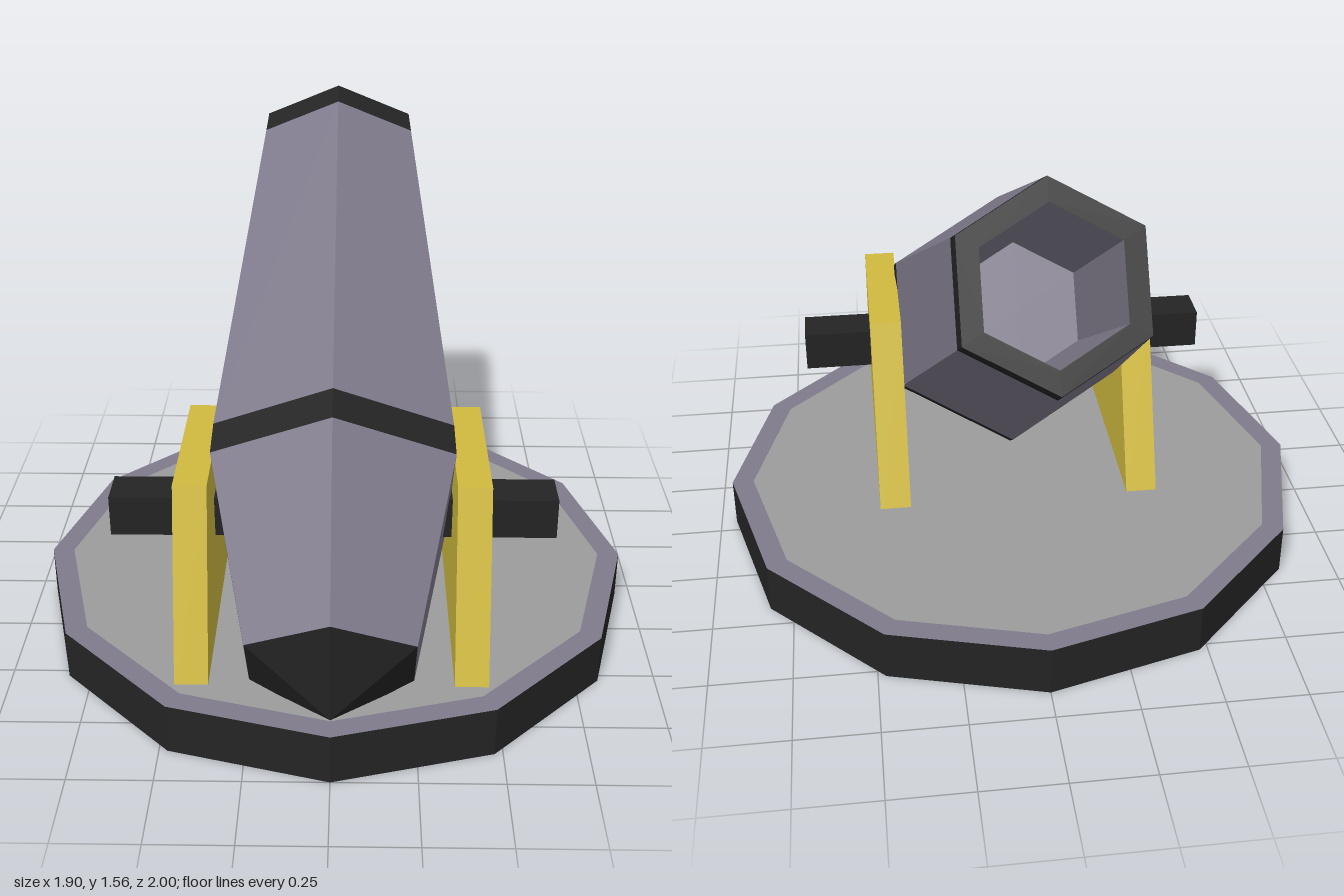
import * as THREE from 'three';

const make = (name, color) => {
  const m = new THREE.MeshStandardMaterial({ color, flatShading: true, side: THREE.DoubleSide });
  m.name = name;
  return m;
};

export function createModel() {
  const iron = make('black iron', 0x242424);
  const steel = make('purple steel', 0x807b8c);
  const brass = make('yellow paint', 0xd0ba40);
  const stone = make('grey floor', 0x9c9c9c);

  const model = new THREE.Group();
  model.name = 'cannon';
  const add = (parent, name, geometry, material, x = 0, y = 0, z = 0) => {
    const mesh = new THREE.Mesh(geometry, material);
    mesh.name = name;
    mesh.position.set(x, y, z);
    parent.add(mesh);
    return mesh;
  };

  // Twelve-sided turntable, hollow underneath
  const base = new THREE.Group();
  base.name = 'base';
  base.position.z = 0.05;
  model.add(base);
  add(base, 'baseWall', new THREE.CylinderGeometry(0.95, 0.95, 0.16, 12, 1, true), iron, 0, 0.08, 0);
  const flat = (g) => g.rotateX(-Math.PI / 2);
  add(base, 'baseRim', flat(new THREE.RingGeometry(0.88, 0.95, 12, 1, Math.PI / 2)), steel, 0, 0.16, 0);
  add(base, 'baseFloor', flat(new THREE.CircleGeometry(0.88, 12, Math.PI / 2)), stone, 0, 0.16, 0);

  // Trapezoid side supports, set slightly through the floor
  const outline = new THREE.Shape([[0.783, 0.12], [0.59, 0.725], [0.08, 0.725], [-0.177, 0.12]]
    .map(([z, y]) => new THREE.Vector2(-z, y)));
  const plate = new THREE.ExtrudeGeometry(outline, { depth: 0.1, bevelEnabled: false });
  plate.translate(0, 0, -0.05).rotateY(Math.PI / 2);
  for (const s of [-1, 1]) {
    add(model, s > 0 ? 'leftSupport' : 'rightSupport', plate, brass, s * 0.41, 0, 0);
  }

  // Square axle through the supports
  add(model, 'axle', new THREE.BoxGeometry(1.36, 0.13, 0.13), iron, 0, 0.515, 0.35);

  // Hexagonal barrel: local +y points out of the muzzle, origin at the muzzle centre
  const barrel = new THREE.Group();
  barrel.name = 'barrel';
  barrel.position.set(0, 1.318, -0.85);
  barrel.rotation.x = -1.007;
  model.add(barrel);
  const section = (name, rTop, rBottom, top, bottom, material) =>
    add(barrel, name, new THREE.CylinderGeometry(rTop, rBottom, top - bottom, 6, 1, true),
      material, 0, (top + bottom) / 2, 0);
  section('muzzleBand', 0.281, 0.289, 0, -0.08, iron);
  section('barrelTube', 0.289, 0.415, -0.08, -1.293, steel);
  section('breechBand', 0.415, 0.42, -1.293, -1.393, iron);
  section('breech', 0.42, 0.28, -1.393, -1.965, steel);
  section('breechCap', 0.28, 0, -1.965, -2.13, iron);

  // Muzzle lip and bore
  add(barrel, 'muzzleLip', flat(new THREE.RingGeometry(0.214, 0.281, 6, 1, Math.PI / 2)), iron);
  section('bore', 0.214, 0.214, 0, -0.9, steel);
  add(barrel, 'boreEnd', flat(new THREE.CircleGeometry(0.214, 6, Math.PI / 2)), steel, 0, -0.9, 0);

  return model;
}
